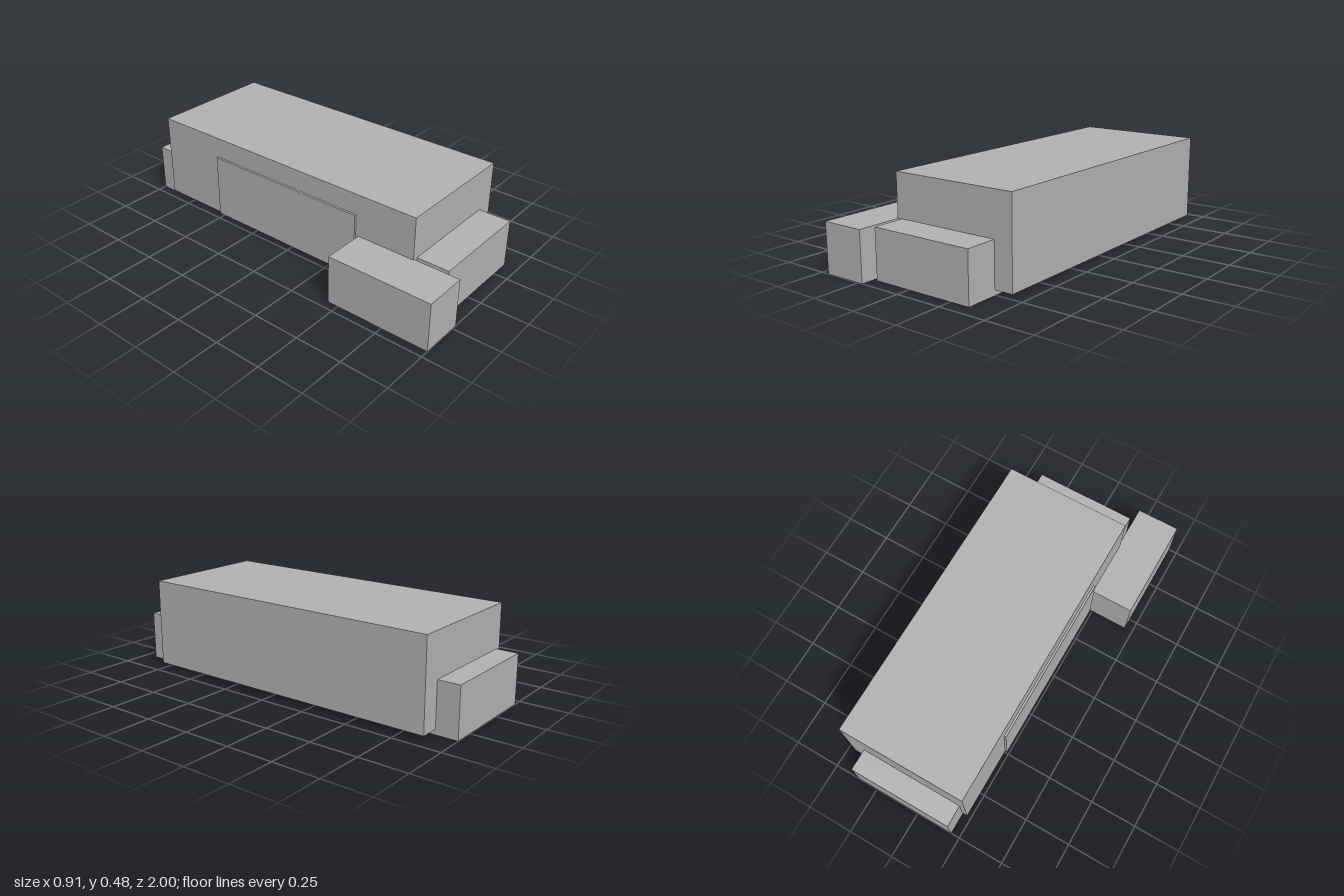
import * as THREE from 'three';

export function createModel() {
  const model = new THREE.Group();
  const grey = new THREE.MeshStandardMaterial({ color: 0xb2b2b2 });
  grey.name = 'plain grey';

  // Adds a box spanning the given [min, max] ranges
  function block(name, [x0, x1], [y0, y1], [z0, z1]) {
    const mesh = new THREE.Mesh(new THREE.BoxGeometry(x1 - x0, y1 - y0, z1 - z0), grey);
    mesh.name = name;
    mesh.position.set((x0 + x1) / 2, (y0 + y1) / 2, (z0 + z1) / 2);
    model.add(mesh);
  }

  // Large central volume, raised slightly off the ground
  block('mainBlock', [-0.23, 0.453], [0.027, 0.481], [-0.886, 0.757]);

  // Thin panel on the right wall
  block('sidePanel', [-0.241, -0.225], [0.027, 0.37], [-0.5, 0.425]);

  // Low blocks at both ends, running a little way under the main volume
  block('frontBlock', [-0.202, 0.355], [0, 0.257], [0.7, 0.929]);
  block('rearBlock', [-0.202, 0.355], [0, 0.257], [-1, -0.765]);

  // Low block beside the front right corner
  block('cornerBlock', [-0.455, -0.223], [0, 0.257], [0.441, 1]);

  return model;
}
